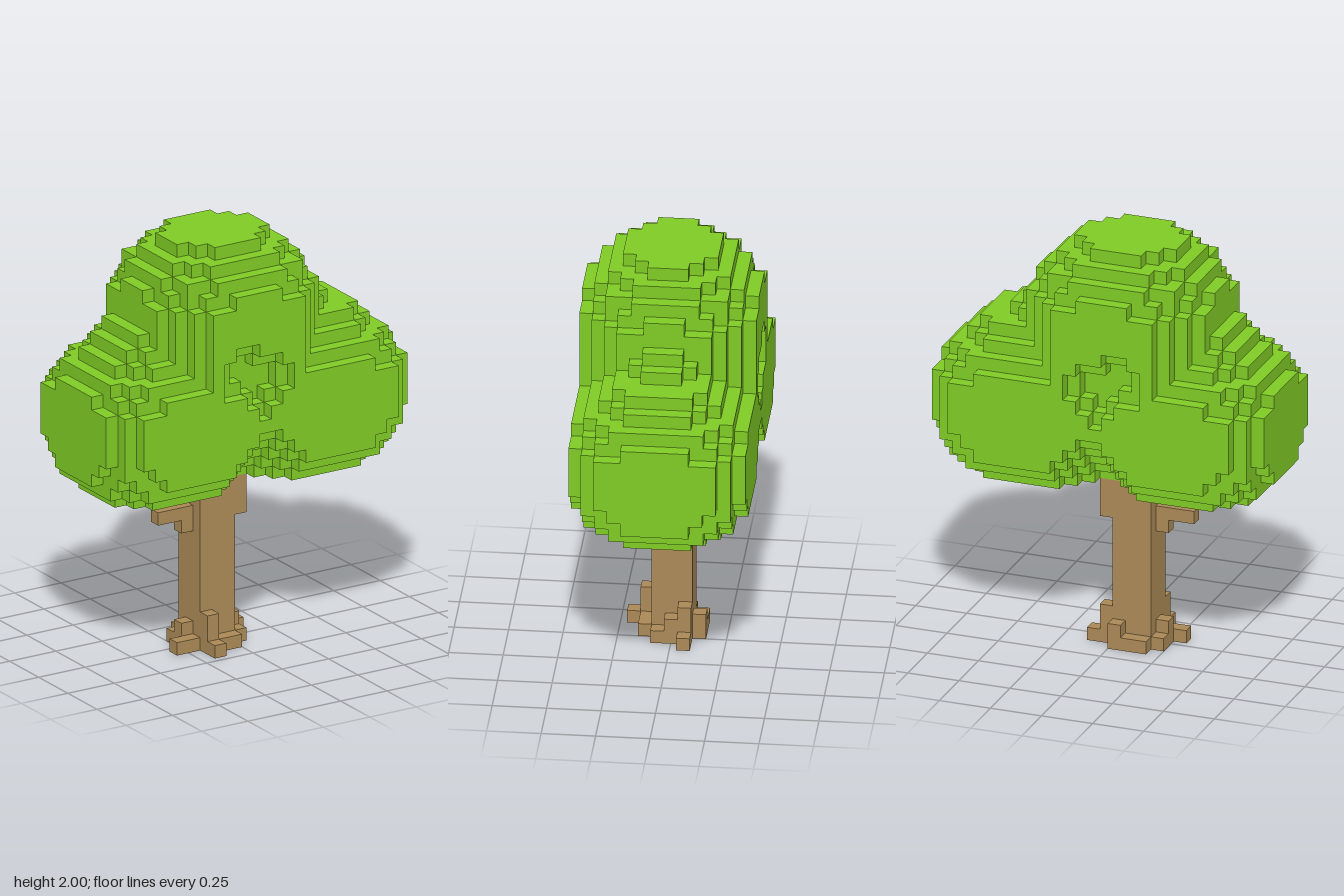
import * as THREE from 'three';

const U = 2 / 32; // edge of one cube

const leafGreen = new THREE.MeshStandardMaterial({ color: 0x7fcb25 });
leafGreen.name = 'leaf green';
const barkBrown = new THREE.MeshStandardMaterial({ color: 0xab8956 });
barkBrown.name = 'bark brown';

// Box with ball-rounded edges, tested at a cube centre (all in cube units)
function inRoundedBox(p, min, max, r) {
  let sum = 0;
  for (let i = 0; i < 3; i++) {
    const inset = Math.min(p[i] - min[i], max[i] - p[i]);
    if (inset < 0) return false;
    // the upright corners stay straight until close below the top
    const straight = i === 1 && max[1] - p[1] > r - 2 && p[1] - min[1] > r;
    if (!straight) sum += Math.max(0, r - inset) ** 2;
  }
  return sum <= r * r + 2;
}

// Small steps that climb from the side masses to the crown: y, x reach, z half width
const leftSteps = [[24, 10, 2.5], [24, 9, 3.5], [25, 8, 1.5], [25, 7, 2.5], [26, 7, 1.5]];
const rightSteps = [[24, 10, 2.5], [24, 9, 3.5], [25, 9, 2.5]];

// Hollow in the middle of both broad faces: y: x from, x to, for each depth
const hollow = [
  { 24: [-3, -1], 23: [-4, 1], 22: [-4, 2], 21: [-4, 2], 20: [-2, 1], 19: [-1, 0] },
  { 23: [-3, -1], 22: [-3, 1], 21: [-2, 1], 20: [-1, 0] },
];

function isLeaf(x, y, z) {
  const p = [x + 0.5, y + 0.5, z];
  const [cx] = p;
  const depth = 6 - Math.abs(z);

  // notch under the lower edge and hollow between the masses
  if (Math.abs(cx) < 18 - y - depth) return false;
  const span = hollow[depth]?.[y];
  if (span && cx > span[0] && cx < span[1]) return false;

  if (inRoundedBox(p, [-13, 13, -6.5], [13, 24, 6.5], 5)) return true;
  if (inRoundedBox(p, [-8, 16, -6.5], [6, 32, 6.5], 6)) return true;
  const steps = cx > 0 ? leftSteps : rightSteps;
  return steps.some(([sy, reach, half]) => y === sy && Math.abs(cx) < reach && Math.abs(z) < half);
}

// Outer faces of all filled cubes
function cubeSurface(filled, [x0, x1], [y0, y1], [z0, z1]) {
  const positions = [];
  const normals = [];
  const addFace = (c, axis, sign) => {
    const a = (axis + 1) % 3;
    const b = (axis + 2) % 3;
    const corner = (s, t) => {
      const v = [...c];
      v[axis] += sign / 2;
      v[a] += s / 2;
      v[b] += t * sign / 2;
      return v.map((n) => n * U);
    };
    const q = [corner(-1, -1), corner(1, -1), corner(1, 1), corner(-1, 1)];
    const n = [0, 0, 0];
    n[axis] = sign;
    for (const i of [0, 1, 2, 0, 2, 3]) {
      positions.push(...q[i]);
      normals.push(...n);
    }
  };
  for (let x = x0; x < x1; x++)
    for (let y = y0; y < y1; y++)
      for (let z = z0; z <= z1; z++) {
        if (!filled(x, y, z)) continue;
        for (let axis = 0; axis < 3; axis++)
          for (const sign of [-1, 1]) {
            const next = [x, y, z];
            next[axis] += sign;
            if (!filled(...next)) addFace([x + 0.5, y + 0.5, z], axis, sign);
          }
      }
  const g = new THREE.BufferGeometry();
  g.setAttribute('position', new THREE.Float32BufferAttribute(positions, 3));
  g.setAttribute('normal', new THREE.Float32BufferAttribute(normals, 3));
  return g;
}

// Boxes as [x0, x1, y0, y1, z0, z1] in cube units
const wood = {
  trunk: [[-3, 0, 0, 14, -1.5, 1.5], [0, 1, 10, 14, -1.5, 1.5]],
  branch: [[-6, -3, 10, 11, -0.5, 0.5], [-4, -3, 9, 10, -0.5, 0.5]],
  frontRoot: [[-3, -2, 0, 3, 1.5, 2.5], [-3, -2, 0, 1, 2.5, 3.5], [-2, 0, 0, 1, 1.5, 2.5]],
  backRoot: [[-1, 0, 0, 2, -2.5, -1.5], [-3, -1, 0, 1, -2.5, -1.5]],
  leftRoot: [[0, 1, 0, 3, -1.5, -0.5], [0, 1, 0, 2, -0.5, 0.5], [0, 1, 0, 1, 0.5, 1.5], [1, 2, 0, 1, -1.5, -0.5]],
  rightRoot: [[-4, -3, 0, 2, -0.5, 0.5], [-4, -3, 0, 1, -1.5, 1.5], [-5, -4, 0, 1, 0.5, 1.5]],
};

export function createModel() {
  const tree = new THREE.Group();
  tree.name = 'tree';

  const foliage = new THREE.Mesh(cubeSurface(isLeaf, [-13, 13], [13, 32], [-6, 6]), leafGreen);
  foliage.name = 'foliage';
  tree.add(foliage);

  // trunk, branch and roots
  const inBox = ([x0, x1, y0, y1, z0, z1], x, y, z) =>
    x >= x0 && x < x1 && y >= y0 && y < y1 && z > z0 && z < z1;
  for (const [name, boxes] of Object.entries(wood)) {
    const filled = (x, y, z) => boxes.some((b) => inBox(b, x, y, z));
    const part = new THREE.Mesh(cubeSurface(filled, [-6, 3], [0, 14], [-3, 3]), barkBrown);
    part.name = name;
    tree.add(part);
  }
  return tree;
}
